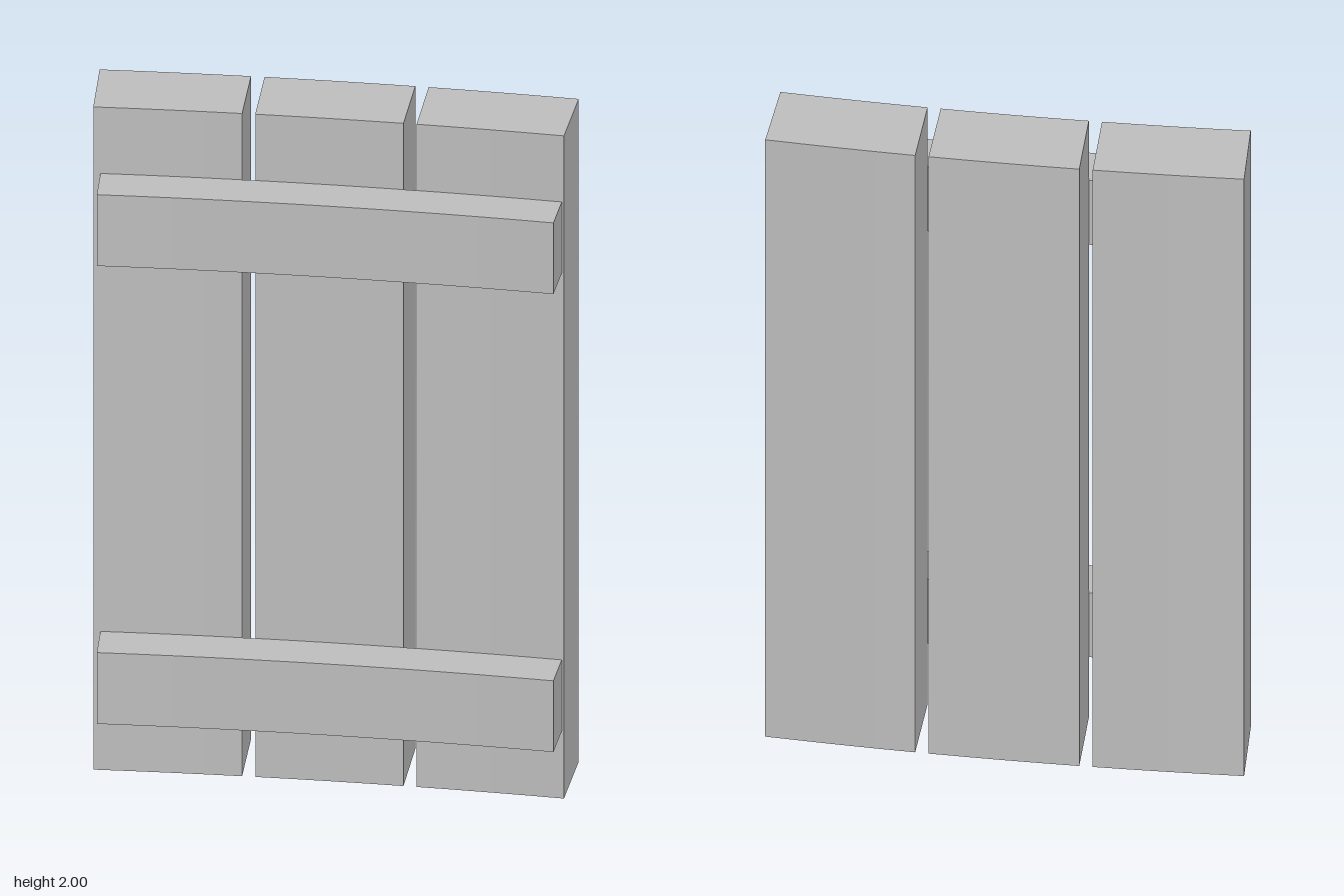
import * as THREE from 'three';

// All parts are sectors of rings around one distant vertical axis.
const AXIS_X = 0.645, AXIS_Z = 11.997;
const BACK_R = 12.2, FACE_R = 11.985, BATTEN_R = 11.863;

const wood = new THREE.MeshStandardMaterial({ color: 0xc0c0c0 });
wood.name = 'plain grey';

// Curved board between two radii and two angles, standing from y0 to y1
function curvedBoard(name, outerR, innerR, a0, a1, y0, y1, segments) {
  const points = [];
  const add = (r, a) => points.push(new THREE.Vector2(
    AXIS_X - r * Math.sin(a), -(AXIS_Z - r * Math.cos(a))));
  for (let i = 0; i <= segments; i++) add(outerR, a0 + (a1 - a0) * i / segments);
  for (let i = segments; i >= 0; i--) add(innerR, a0 + (a1 - a0) * i / segments);
  const geometry = new THREE.ExtrudeGeometry(new THREE.Shape(points), {
    depth: y1 - y0, bevelEnabled: false, steps: 1,
  });
  geometry.rotateX(-Math.PI / 2);
  geometry.translate(0, y0, 0);
  const mesh = new THREE.Mesh(geometry, wood);
  mesh.name = name;
  return mesh;
}

export function createModel() {
  const group = new THREE.Group();
  group.name = 'curvedPlankPanel';

  // Three upright planks with narrow gaps
  const plankAngle = 0.0333, pitch = 0.03625;
  ['leftPlank', 'middlePlank', 'rightPlank'].forEach((name, i) => {
    const a = i * pitch;
    group.add(curvedBoard(name, BACK_R, FACE_R, a, a + plankAngle, 0, 2, 4));
  });

  // Two cross battens on the front
  for (const [name, y0, y1] of [['lowerBatten', 0.203, 0.418], ['upperBatten', 1.585, 1.8]]) {
    group.add(curvedBoard(name, FACE_R, BATTEN_R, 0.0005, 0.1042, y0, y1, 12));
  }
  return group;
}
